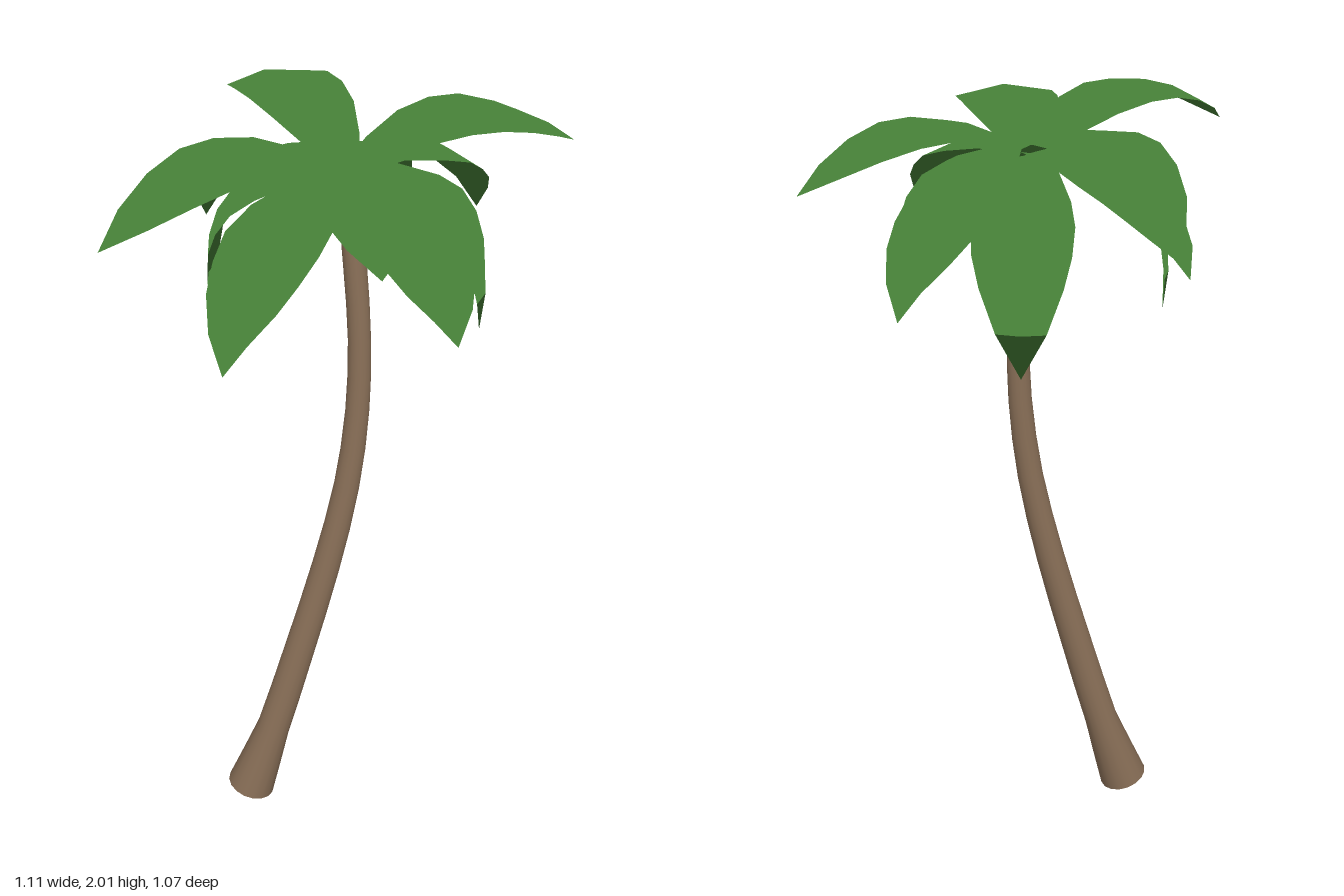
import * as THREE from 'three';

const bark = new THREE.MeshStandardMaterial({ color: 0x8a7058 });
bark.name = 'bark brown';
const leaf = new THREE.MeshStandardMaterial({ color: 0x478238 });
leaf.name = 'leaf green';
const husk = new THREE.MeshStandardMaterial({ color: 0x8a6a55 });
husk.name = 'coconut brown';

const CROWN = new THREE.Vector3(0, 1.88, 0.03);

// Leaning, tapering trunk: a cylinder bent along a curve
function makeTrunk() {
  const curve = new THREE.CatmullRomCurve3([
    [-0.28, 0.022, 0.066], [-0.21, 0.235, 0.063], [-0.135, 0.5, 0.06],
    [-0.06, 0.78, 0.056], [-0.005, 1.03, 0.052], [0.022, 1.25, 0.047],
    [0.027, 1.45, 0.042], [0.016, 1.65, 0.036], [-0.003, 1.88, 0.03],
  ].map((p) => new THREE.Vector3(...p)));
  const radii = [0.066, 0.045, 0.041, 0.037, 0.033, 0.03, 0.028, 0.028, 0.026];
  const geo = new THREE.CylinderGeometry(1, 1, 1, 16, 16);
  const pos = geo.attributes.position, nor = geo.attributes.normal;
  for (let k = 0; k < pos.count; k++) {
    const u = THREE.MathUtils.clamp(pos.getY(k) + 0.5, 0, 1);
    const center = curve.getPoint(u), t = curve.getTangent(u);
    const i = Math.min(Math.floor(u * 8), 7);
    const r = THREE.MathUtils.lerp(radii[i], radii[i + 1], u * 8 - i);
    const z = new THREE.Vector3(1, 0, 0).cross(t).normalize();
    const x = t.clone().cross(z);
    const p = center.addScaledVector(x, pos.getX(k) * r).addScaledVector(z, pos.getZ(k) * r);
    const m = x.multiplyScalar(nor.getX(k))
      .addScaledVector(t, nor.getY(k)).addScaledVector(z, nor.getZ(k));
    pos.setXYZ(k, p.x, p.y, p.z);
    nor.setXYZ(k, m.x, m.y, m.z);
  }
  const trunk = new THREE.Mesh(geo, bark);
  trunk.name = 'trunk';
  return trunk;
}

// Frond profiles: [fraction of reach, height above crown, half width]
const UPPER = {
  size: 0.64,
  rows: [
    [0, 0.005, 0.03], [0.12, 0.055, 0.07], [0.28, 0.1, 0.105], [0.43, 0.118, 0.12],
    [0.57, 0.114, 0.122], [0.72, 0.085, 0.102], [0.87, 0.038, 0.062], [1, -0.018, 0],
  ],
};
const MIDDLE = {
  size: 0.517,
  rows: [
    [0, 0, 0.03], [0.24, 0.015, 0.07], [0.45, -0.005, 0.108], [0.62, -0.035, 0.12],
    [0.75, -0.08, 0.11], [0.86, -0.13, 0.09], [0.96, -0.195, 0.05], [1, -0.275, 0],
  ],
};
const LOWER = {
  size: 0.355,
  rows: [
    [0, -0.005, 0.03], [0.3, 0.008, 0.07], [0.62, -0.03, 0.105], [0.8, -0.07, 0.117],
    [0.92, -0.13, 0.112], [0.99, -0.2, 0.095], [1.02, -0.305, 0.058], [1, -0.415, 0],
  ],
};

// Thin arched leaf blade reaching to the tip, softly lit as foliage (normals up)
function makeFrond(name, { size, rows }, tipX, tipZ) {
  const out = new THREE.Vector3(tipX - CROWN.x, 0, tipZ - CROWN.z);
  const reach = out.length();
  out.normalize();
  const side = new THREE.Vector3(-out.z, 0, out.x);
  const pos = [], nor = [], idx = [];
  rows.forEach(([f, h, w], i) => {
    const [f0, h0] = rows[Math.max(i - 1, 0)];
    const [f1, h1] = rows[Math.min(i + 1, rows.length - 1)];
    const up = out.clone().multiplyScalar((h0 - h1) / size);
    up.y = f1 - f0;
    up.normalize();
    // left edge, upper rib, right edge, lower rib
    const ring = [[-w, -0.1 * w], [0, 0.08 * w], [w, -0.1 * w], [0, 0.05 * w]];
    for (const [s, lift] of ring) {
      const p = CROWN.clone().addScaledVector(out, f * reach)
        .addScaledVector(side, s).addScaledVector(up, lift);
      pos.push(p.x, p.y + h * reach / size, p.z);
      nor.push(0, 1, 0);
    }
    if (i === 0) return;
    for (let j = 0; j < 4; j++) {
      const b = 4 * i + j, d = 4 * i + (j + 1) % 4, a = b - 4, c = d - 4;
      idx.push(a, c, b);
      if (i < rows.length - 1) idx.push(c, d, b);
    }
  });
  const geo = new THREE.BufferGeometry();
  geo.setAttribute('position', new THREE.Float32BufferAttribute(pos, 3));
  geo.setAttribute('normal', new THREE.Float32BufferAttribute(nor, 3));
  geo.setIndex(idx);
  const frond = new THREE.Mesh(geo, leaf);
  frond.name = name;
  return frond;
}

export function createModel() {
  const model = new THREE.Group();
  model.name = 'palmTree';
  model.add(makeTrunk());

  // Crown in three tiers, each frond given by its tip (x, z)
  const crown = new THREE.Group();
  crown.name = 'crown';
  const tiers = [
    ['upperFrond', UPPER, [[-0.225, -0.535], [0.555, -0.13], [-0.555, 0.345], [0.02, 0.535]]],
    ['middleFrond', MIDDLE, [[0.36, -0.305], [0.2, 0.432], [-0.31, 0.445], [-0.322, -0.252]]],
    ['lowerFrond', LOWER, [[0.085, -0.315], [0.3, 0.13], [-0.315, -0.045]]],
  ];
  for (const [name, profile, tips] of tiers)
    tips.forEach(([x, z], i) => crown.add(makeFrond(name + (i + 1), profile, x, z)));
  model.add(crown);

  // Coconuts clustered under the crown
  const nuts = new THREE.Group();
  nuts.name = 'coconuts';
  for (const [x, y, z] of [[-0.05, 1.82, 0.045], [0.005, 1.815, 0.072], [0.03, 1.815, -0.015]]) {
    const nut = new THREE.Mesh(new THREE.SphereGeometry(0.025, 14, 10), husk);
    nut.name = 'coconut';
    nut.scale.y = 1.15;
    nut.position.set(x, y, z);
    nuts.add(nut);
  }
  model.add(nuts);
  return model;
}
